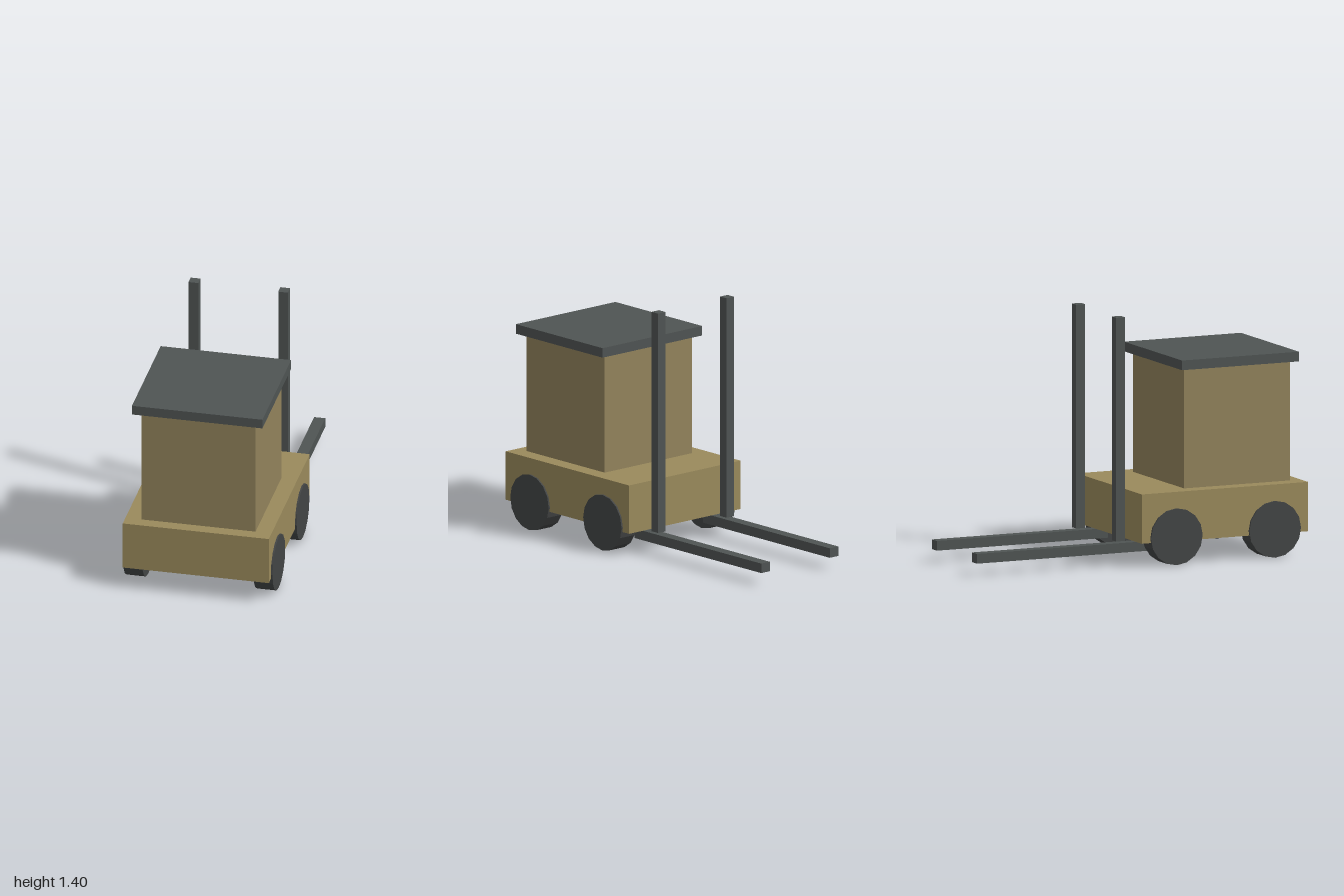
import * as THREE from 'three';

const material = (color) => new THREE.MeshStandardMaterial({ color, flatShading: true });

export function createModel() {
  const model = new THREE.Group();
  model.name = 'forklift';
  const tan = material(0x9a8a5c);
  const cabinTan = material(0x92835c);
  const steel = material(0x4f5453);
  const rubber = material(0x434545);

  // Box given by its minimum and maximum on each axis
  function box(name, mat, [x0, x1], [y0, y1], [z0, z1]) {
    const mesh = new THREE.Mesh(new THREE.BoxGeometry(x1 - x0, y1 - y0, z1 - z0), mat);
    mesh.position.set((x0 + x1) / 2, (y0 + y1) / 2, (z0 + z1) / 2);
    mesh.name = name;
    model.add(mesh);
  }

  // Body
  box('chassis', tan, [-0.42, 0.42], [0.135, 0.415], [-0.035, 1]);
  box('cabin', cabinTan, [-0.328, 0.328], [0.415, 1.095], [0.272, 0.93]);
  box('roof', steel, [-0.375, 0.375], [1.095, 1.15], [0.237, 0.965]);

  // Masts, forks and wheels, mirrored left and right
  const wheelGeometry = new THREE.CylinderGeometry(0.161, 0.161, 0.11, 16).rotateZ(Math.PI / 2);
  for (const [side, s] of [['left', 1], ['right', -1]]) {
    const x = s * 0.258;
    box(side + 'Mast', steel, [x - 0.028, x + 0.028], [0.135, 1.405], [-0.13, -0.075]);
    box(side + 'Fork', steel, [x - 0.032, x + 0.032], [0.07, 0.125], [-1, 0.065]);

    for (const [end, z] of [['Front', 0.79], ['Rear', 0.178]]) {
      const wheel = new THREE.Mesh(wheelGeometry, rubber);
      wheel.name = side + end + 'Wheel';
      wheel.position.set(s * 0.375, 0.161, z);
      model.add(wheel);
    }
  }
  return model;
}
